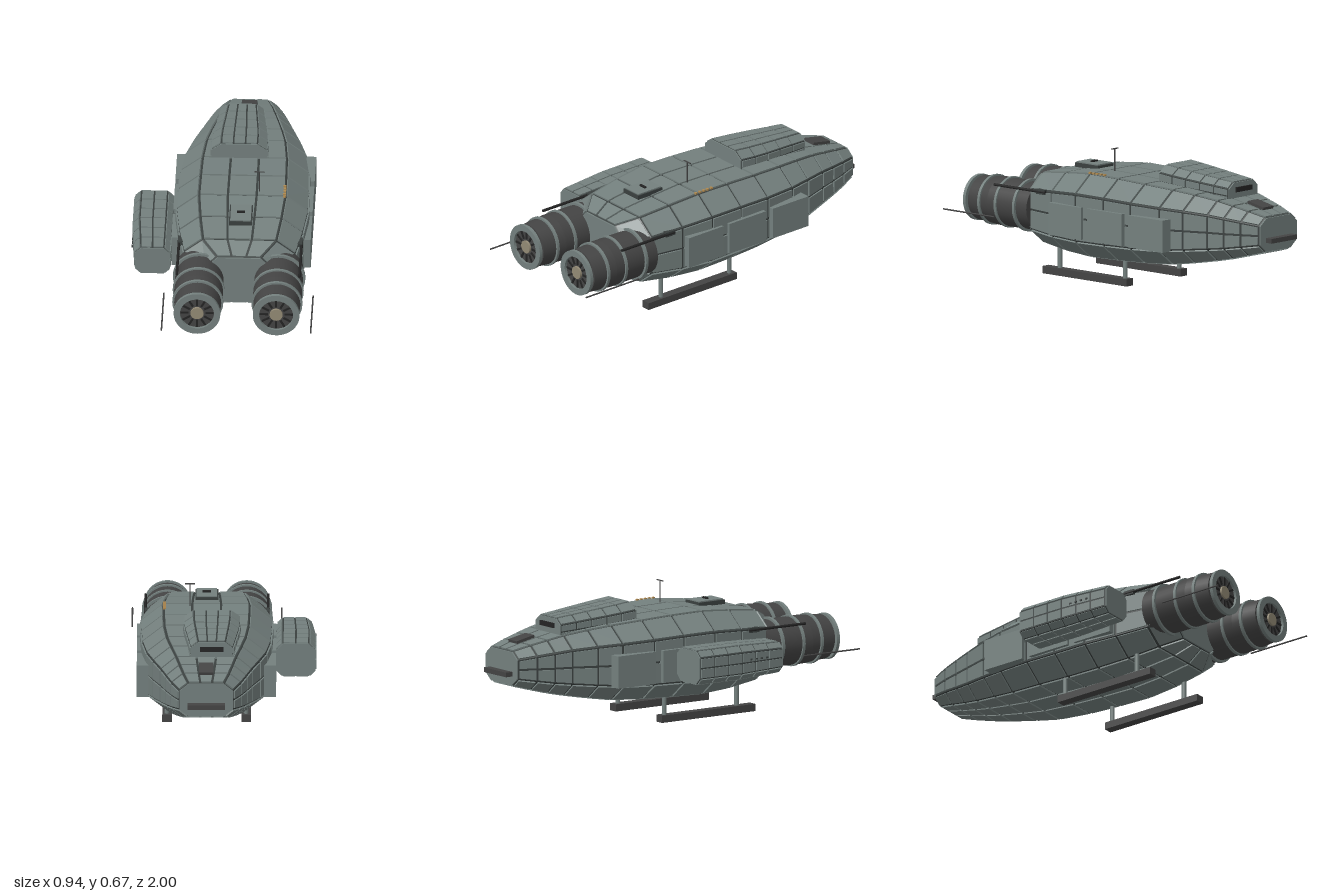
import * as THREE from 'three';

const mat = (name, color) => {
  const m = new THREE.MeshStandardMaterial({ color });
  m.name = name;
  return m;
};
const M = {
  plate: mat('plate grey', 0x74807e),
  seam: mat('seam dark', 0x3a403f),
  dark: mat('dark metal', 0x444444),
  black: mat('black', 0x242424),
  tan: mat('hub tan', 0x938a75),
  lamp: mat('lamp amber', 0xb08a50),
};
const CX = 0.085; // hull centre line

function add(parent, name, geo, material, x = 0, y = 0, z = 0) {
  const m = new THREE.Mesh(geo, material);
  m.name = name;
  m.position.set(x, y, z);
  parent.add(m);
  return m;
}
const box = (p, name, m, sx, sy, sz, x, y, z) => add(p, name, new THREE.BoxGeometry(sx, sy, sz), m, x, y, z);
// cylinder lying along z, r1 at the +z end
const zCyl = (p, name, m, r1, r0, len, x, y, z, n = 32) =>
  add(p, name, new THREE.CylinderGeometry(r1, r0, len, n).rotateX(Math.PI / 2), m, x, y, z);

// Eight-sided section, counter-clockwise from +z, its flats split into panels
function section([z, cx, cy, hw, hh, tw, th], nTop, nSide) {
  const c = [[-tw, -hh, nTop], [tw, -hh, 1], [hw, -th, nSide], [hw, th, 1],
    [tw, hh, nTop], [-tw, hh, 1], [-hw, th, nSide], [-hw, -th, 1]];
  const pts = [];
  c.forEach(([x, y, n], i) => {
    const [x2, y2] = c[(i + 1) % 8];
    for (let k = 0; k < n; k++) {
      pts.push(new THREE.Vector3(cx + x + (x2 - x) * k / n, cy + y + (y2 - y) * k / n, z));
    }
  });
  return pts;
}

function quadGeometry(quads) {
  const pos = [];
  for (const [a, b, c, d] of quads) for (const v of [a, b, c, a, c, d]) pos.push(v.x, v.y, v.z);
  const g = new THREE.BufferGeometry();
  g.setAttribute('position', new THREE.Float32BufferAttribute(pos, 3));
  g.computeVertexNormals();
  return g;
}

// Dark core lofted through the sections, covered by raised plates with gaps
function platedBody(parent, name, rows, nTop, nSide, gap, h) {
  const g = new THREE.Group();
  g.name = name;
  parent.add(g);
  const S = rows.map((r) => section(r, nTop, nSide));
  const n = S[0].length, core = [], plates = [];
  for (let i = 0; i < S.length - 1; i++) {
    for (let j = 0; j < n; j++) {
      const k = (j + 1) % n;
      const q = [S[i][j], S[i][k], S[i + 1][k], S[i + 1][j]];
      core.push(q);
      const normal = q[2].clone().sub(q[0]).cross(q[3].clone().sub(q[1])).normalize();
      const toward = (a, b) => b.clone().sub(a).normalize().multiplyScalar(gap);
      const low = q.map((p, e) => p.clone().add(toward(p, q[(e + 1) % 4])).add(toward(p, q[(e + 3) % 4])));
      const top = low.map((p) => p.clone().addScaledVector(normal, h));
      plates.push(top);
      for (let e = 0; e < 4; e++) {
        const f = (e + 1) % 4;
        plates.push([low[e], low[f], top[f], top[e]]);
      }
    }
  }
  add(g, name + 'Core', quadGeometry(core), M.seam);
  add(g, name + 'Plates', quadGeometry(plates), M.plate);
  // end plates
  for (const [r, back] of [[rows[0], 1], [rows[rows.length - 1], 0]]) {
    const [z, cx, cy] = r;
    const shape = new THREE.Shape(section(r, 1, 1).map((p) => new THREE.Vector2(p.x - cx, p.y - cy)));
    const geo = new THREE.ExtrudeGeometry(shape, { depth: h, bevelEnabled: false });
    add(g, name + 'EndPlate', geo, M.plate, cx, cy, back ? z - h : z);
  }
  return g;
}

function engine(parent, x) {
  const g = new THREE.Group();
  g.name = 'engine';
  g.position.set(x, 0.335, 0);
  parent.add(g);
  zCyl(g, 'engineBody', M.dark, 0.124, 0.122, 0.27, 0, 0, 0.615);
  zCyl(g, 'engineFrontBody', M.dark, 0.113, 0.124, 0.14, 0, 0, 0.82);
  for (const [z, r] of [[0.56, 0.135], [0.69, 0.131], [0.805, 0.129]]) zCyl(g, 'engineBand', M.plate, r, r, 0.015, 0, 0, z);
  const lip = new THREE.Shape().absarc(0, 0, 0.118, 0, Math.PI * 2);
  lip.holes.push(new THREE.Path().absarc(0, 0, 0.086, 0, Math.PI * 2, true));
  add(g, 'intakeLip', new THREE.ExtrudeGeometry(lip, { depth: 0.018, bevelEnabled: false, curveSegments: 32 }), M.plate, 0, 0, 0.902);
  zCyl(g, 'intakeFan', M.dark, 0.1, 0.1, 0.02, 0, 0, 0.896);
  for (let i = 0; i < 12; i++) {
    const a = i * Math.PI / 6;
    const b = box(g, 'fanBlade', M.black, 0.042, 0.01, 0.006, 0.063 * Math.cos(a), 0.063 * Math.sin(a), 0.908);
    b.rotation.z = a;
  }
  zCyl(g, 'intakeHub', M.tan, 0.033, 0.033, 0.014, 0, 0, 0.91, 24);
}

export function createModel() {
  const root = new THREE.Group();
  root.name = 'spaceship';

  // Main hull: z, bottom, top, half width
  const hull = [
    [-0.952, 0.262, 0.432, 0.135], [-0.86, 0.237, 0.455, 0.172], [-0.77, 0.214, 0.474, 0.2],
    [-0.68, 0.195, 0.492, 0.226], [-0.55, 0.172, 0.51, 0.266], [-0.42, 0.152, 0.523, 0.3],
    [-0.24, 0.14, 0.533, 0.322], [-0.06, 0.132, 0.54, 0.327], [0.13, 0.128, 0.543, 0.33],
    [0.31, 0.137, 0.527, 0.31], [0.487, 0.158, 0.506, 0.28], [0.586, 0.205, 0.465, 0.165],
  ].map(([z, lo, hi, hw]) => [z, CX, (lo + hi) / 2, hw, (hi - lo) / 2, hw * 0.66, (hi - lo) * 0.285]);
  platedBody(root, 'hull', hull, 3, 2, 0.006, 0.008);

  // Upper pod on the rear deck
  const upper = [], side = [];
  for (let i = 0; i <= 5; i++) {
    const t = i / 5, w = 0.105 + 0.035 * Math.min(1, t * 1.4);
    upper.push([-0.685 + 0.44 * t, 0.057, 0.512 + 0.028 * t, w, 0.064 + 0.014 * t, w * 0.65, 0.035 + 0.008 * t]);
  }
  platedBody(root, 'upperPod', upper, 3, 2, 0.004, 0.006);
  box(root, 'upperPodVent', M.black, 0.12, 0.025, 0.012, 0.057, 0.54, -0.693);

  // Side pod
  for (let i = 0; i <= 6; i++) {
    const t = i / 6, s = 1 - 0.12 * Math.max(0, t - 0.5) * 2;
    side.push([-0.115 + 0.52 * t, -0.366 + 0.006 * (1 - s) * 10, 0.325, 0.097 * s, 0.084 * s, 0.066 * s, 0.053 * s]);
  }
  platedBody(root, 'sidePod', side, 2, 2, 0.004, 0.006);
  box(root, 'sidePodMount', M.seam, 0.05, 0.1, 0.3, -0.255, 0.325, 0.1);
  for (let i = 0; i < 4; i++) box(root, 'sidePodLamp', M.seam, 0.006, 0.008, 0.012, -0.465, 0.34, 0.2 + i * 0.033);

  // Mirrored parts about the hull centre line
  for (const s of [-1, 1]) {
    const X = (d) => CX + s * d;
    engine(root, X(0.2));
    for (const [z0, z1] of [[-0.485, -0.25], [-0.205, 0.035], [0.075, 0.3]]) {
      box(root, 'sideArmour', M.plate, 0.06, 0.165, z1 - z0, X(0.322), 0.315, (z0 + z1) / 2);
    }
    zCyl(root, 'forwardProbe', M.dark, 0.004, 0.004, 0.35, X(0.377), 0.285, 0.825, 8);
    zCyl(root, 'upperBarrel', M.black, 0.007, 0.007, 0.35, X(0.31), 0.436, 0.535, 10);
    box(root, 'barrelMount', M.seam, 0.03, 0.025, 0.06, X(0.3), 0.436, 0.39);
    box(root, 'landingSkid', M.dark, 0.048, 0.037, 0.58, X(0.2), 0.0185, 0.17);
    for (const z of [0.36, -0.09]) {
      add(root, 'landingStrut', new THREE.CylinderGeometry(0.012, 0.012, 0.14, 12), M.plate, X(0.2), 0.1, z);
    }
  }

  // Tail slot and rear deck vent
  box(root, 'tailSlot', M.dark, 0.19, 0.024, 0.06, CX, 0.32, -0.97);
  const vent = box(root, 'deckVent', M.dark, 0.075, 0.014, 0.11, CX, 0.477, -0.835);
  vent.rotation.x = -0.2;

  // Deck hatch
  const hatch = new THREE.Group();
  hatch.name = 'hatch';
  hatch.position.set(CX, 0.545, 0.31);
  root.add(hatch);
  box(hatch, 'hatchFrame', M.seam, 0.116, 0.022, 0.16, 0, -0.001, 0);
  box(hatch, 'hatchLid', M.plate, 0.104, 0.008, 0.148, 0, 0.012, 0);
  box(hatch, 'hatchHandle', M.black, 0.042, 0.008, 0.012, 0, 0.02, 0);

  // Antenna
  add(root, 'antennaMast', new THREE.CylinderGeometry(0.003, 0.003, 0.125, 8), M.dark, 0.17, 0.603, 0.09);
  box(root, 'antennaBar', M.dark, 0.05, 0.005, 0.005, 0.17, 0.665, 0.09);

  // Small deck lamps
  for (let i = 0; i < 5; i++) box(root, 'deckLamp', M.lamp, 0.014, 0.009, 0.012, 0.298, 0.551, 0.04 + i * 0.025);
  return root;
}
